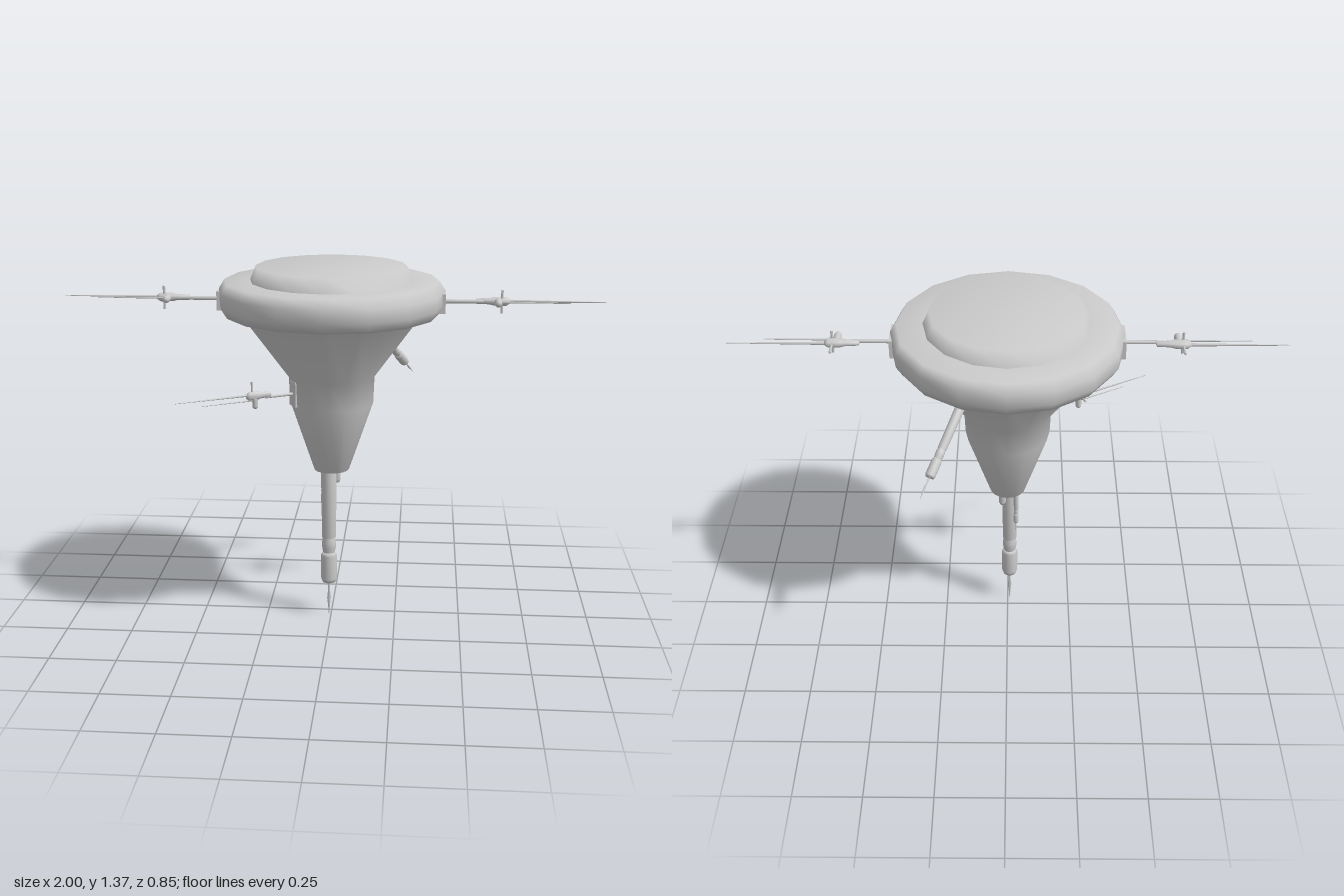
import * as THREE from 'three';

const material = new THREE.MeshStandardMaterial({ color: 0xcccccc, side: THREE.DoubleSide });
const CZ = 0.012; // z of the main axis

function add(parent, name, geometry, x = 0, y = 0, z = 0) {
  const mesh = new THREE.Mesh(geometry, material);
  mesh.name = name;
  mesh.position.set(x, y, z);
  parent.add(mesh);
  return mesh;
}

// Turned part from [radius, height] pairs, listed bottom to top
function lathe(profile, sides) {
  return new THREE.LatheGeometry(profile.map(([r, y]) => new THREE.Vector2(r, y)), sides);
}

// Rod along x from x0 to x1, radius r0 to r1
function rodX(x0, x1, r0, r1, sides = 8) {
  const g = new THREE.CylinderGeometry(r1, r0, x1 - x0, sides);
  g.rotateZ(-Math.PI / 2);
  g.translate((x0 + x1) / 2, 0, 0);
  return g;
}

// Side antenna pointing along +x from its mounting plate
function sideAntenna(name) {
  const g = new THREE.Group();
  g.name = name;
  add(g, 'mountPlate', new THREE.BoxGeometry(0.035, 0.07, 0.12), -0.015);
  add(g, 'boom', rodX(-0.02, 0.14, 0.008, 0.007));
  // Hub with a forward pod
  const hub = lathe([[0, 0.11], [0.013, 0.115], [0.015, 0.16], [0.021, 0.18], [0.022, 0.222], [0.012, 0.235], [0, 0.237]], 10);
  hub.rotateZ(-Math.PI / 2);
  add(g, 'hub', hub, 0, 0, -0.012).scale.y = 0.75;
  const pod = new THREE.CapsuleGeometry(0.014, 0.04, 3, 10);
  pod.rotateX(Math.PI / 2);
  add(g, 'pod', pod, 0.193, 0, 0.018);
  // Cross rods
  add(g, 'verticalRod', new THREE.CylinderGeometry(0.005, 0.005, 0.086, 6), 0.208, 0, -0.004);
  const back = new THREE.CylinderGeometry(0.005, 0.005, 0.06, 6);
  back.rotateX(Math.PI / 2);
  add(g, 'backRod', back, 0.208, 0, -0.05);
  // Long and short needles
  add(g, 'longNeedle', rodX(0.22, 0.585, 0.006, 0.0015, 6), 0, 0, -0.017);
  add(g, 'shortNeedle', rodX(0.19, 0.455, 0.004, 0.0015, 6), 0, 0, 0.01);
  return g;
}

// Stepped probe pointing down, 0.595 long, starting slightly inside the hull
function probe(name, scale) {
  const g = new THREE.Group();
  g.name = name;
  add(g, 'tube', lathe([[0, -0.27], [0.027, -0.27], [0.03, 0.03], [0, 0.03]], 12));
  add(g, 'collar', lathe([[0.021, -0.345], [0.027, -0.31], [0.027, -0.29], [0.021, -0.26]], 12));
  add(g, 'head', lathe([[0, -0.455], [0.026, -0.455], [0.031, -0.44], [0.031, -0.345], [0.024, -0.332], [0, -0.332]], 12));
  add(g, 'needle', lathe([[0.001, -0.595], [0.004, -0.56], [0.008, -0.525], [0.004, -0.49], [0.007, -0.45]], 6));
  g.scale.setScalar(scale);
  return g;
}

export function createModel() {
  const model = new THREE.Group();
  model.name = 'spaceStation';

  // Tapered hull, broad rim and low cap
  add(model, 'hull', lathe([[0, 0.595], [0.067, 0.595], [0.157, 0.86], [0.161, 0.96], [0.337, 1.2]], 16), 0, 0, CZ);
  add(model, 'rim', lathe([[0.3, 1.2], [0.395, 1.2], [0.417, 1.235], [0.417, 1.285], [0.395, 1.32], [0.28, 1.32]], 16), 0, 0, CZ);
  add(model, 'cap', lathe([[0.302, 1.315], [0.278, 1.372], [0, 1.372]], 16), 0, 0, CZ);

  // Pair of rim antennas, pods kept to the front
  for (const side of [1, -1]) {
    const a = sideAntenna(side > 0 ? 'leftRimAntenna' : 'rightRimAntenna');
    a.position.set(side * 0.415, 1.247, CZ);
    if (side < 0) a.rotation.z = Math.PI;
    model.add(a);
  }

  // Smaller antenna on the hull, rolled so its pod hangs down
  const hullAntenna = sideAntenna('hullAntenna');
  const dx = -0.873, dz = 0.487;
  hullAntenna.position.set(dx * 0.158, 0.907, CZ + dz * 0.158);
  hullAntenna.rotation.set(Math.PI / 2, Math.atan2(-dz, dx), 0, 'YXZ');
  hullAntenna.scale.setScalar(0.78);
  model.add(hullAntenna);

  // Probes below the hull
  const mainProbe = probe('mainProbe', 1);
  mainProbe.position.set(-0.008, 0.595, 0.04);
  const smallProbe = probe('smallProbe', 0.33);
  smallProbe.position.set(-0.033, 0.595, -0.012);
  model.add(mainProbe, smallProbe);
  add(model, 'stubProbe', lathe([[0, 0.53], [0.009, 0.533], [0.014, 0.545], [0.014, 0.61]], 10), 0.02, 0, -0.011);

  // Slanted probe on the rear of the cone
  const rearProbe = probe('rearProbe', 0.593);
  rearProbe.position.set(0.165, 1.095, -0.185);
  const aim = new THREE.Vector3(0.135, -0.22, -0.24).normalize();
  rearProbe.quaternion.setFromUnitVectors(new THREE.Vector3(0, -1, 0), aim);
  model.add(rearProbe);

  return model;
}
